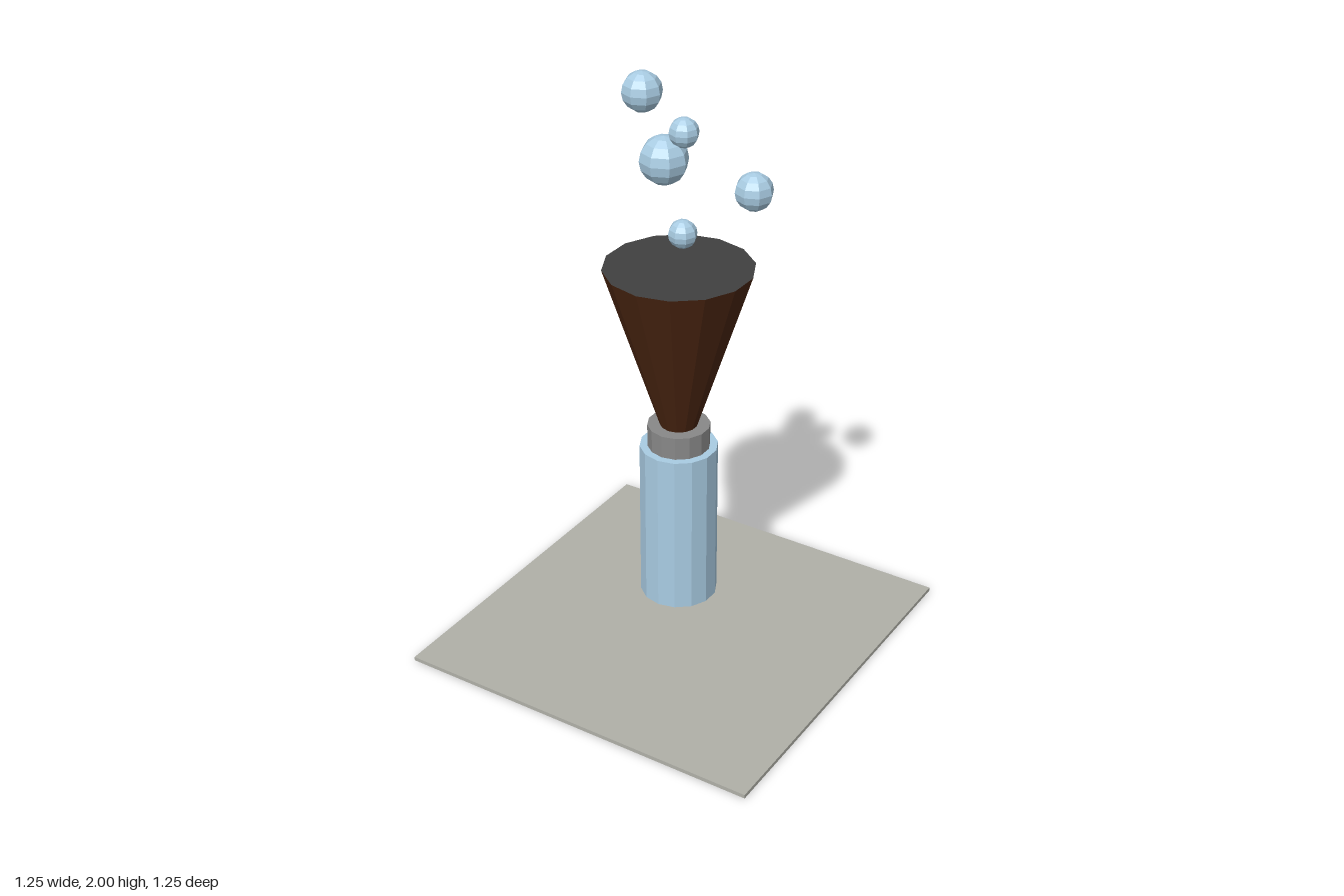
import * as THREE from 'three';

const SIDES = 14;

function material(name, color) {
  const m = new THREE.MeshStandardMaterial({ color, flatShading: true });
  m.name = name;
  return m;
}

export function createModel() {
  const model = new THREE.Group();
  const blue = material('pale blue', 0xa9cce3);
  const brown = material('dark brown', 0x4a2511);
  const steel = material('grey metal', 0x888888);
  const charcoal = material('charcoal', 0x404040);
  const stone = material('stone grey', 0xb0b0a8);

  const add = (name, geometry, mat, x, y, z) => {
    const mesh = new THREE.Mesh(geometry, mat);
    mesh.name = name;
    mesh.position.set(x, y, z);
    model.add(mesh);
  };

  // Upright faceted cylinder or cone between two heights
  const column = (name, rTop, rBottom, y0, y1, mat) =>
    add(name, new THREE.CylinderGeometry(rTop, rBottom, y1 - y0, SIDES), mat, 0, (y0 + y1) / 2, 0);

  // Thin square ground plate
  add('basePlate', new THREE.BoxGeometry(1.245, 0.013, 1.245), stone, 0, 0.0065, 0);

  // Floating bottle body, its collar and the funnel above
  column('body', 0.125, 0.125, 0.16, 0.705, blue);
  column('collar', 0.1, 0.1, 0.705, 0.78, steel);
  column('funnel', 0.235, 0.06, 0.78, 1.325, [brown, charcoal, brown]);

  // Rising bubbles: x, y, z, radius
  const bubbles = [
    [0.02, 1.443, 0.01, 0.045],
    [0.185, 1.568, -0.125, 0.06],
    [-0.01, 1.693, 0.065, 0.075],
    [0.093, 1.818, 0.12, 0.045],
    [-0.008, 1.94, 0.18, 0.06],
  ];
  bubbles.forEach(([x, y, z, r], i) =>
    add(`bubble${i + 1}`, new THREE.SphereGeometry(r, 8, 8), blue, x, y, z));

  return model;
}
